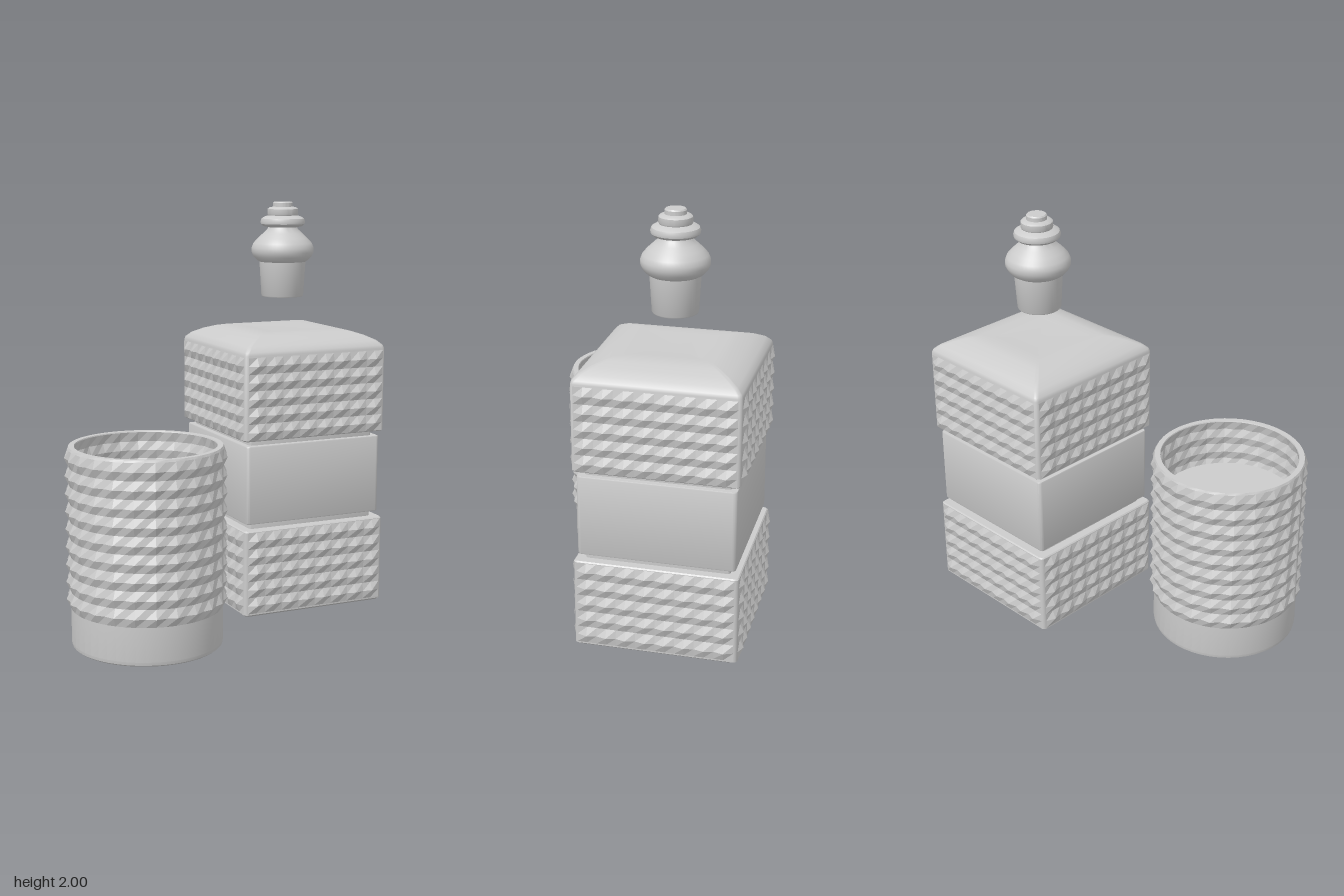
import * as THREE from 'three';
import { toCreasedNormals } from 'three/addons/utils/BufferGeometryUtils.js';

const material = new THREE.MeshStandardMaterial({ color: 0xcccccc });

function mesh(name, geometry, crease) {
  const m = new THREE.Mesh(toCreasedNormals(geometry, crease), material);
  m.name = name;
  return m;
}

// Surface of nu x nv quads; point(i, j) gives [x, y, z]
function grid(nu, nv, point) {
  const pos = [], index = [];
  for (let j = 0; j <= nv; j++) for (let i = 0; i <= nu; i++) pos.push(...point(i, j));
  for (let j = 0; j < nv; j++) {
    for (let i = 0; i < nu; i++) {
      const a = j * (nu + 1) + i, d = a + nu + 1;
      index.push(a, a + 1, d + 1, a, d + 1, d);
    }
  }
  const g = new THREE.BufferGeometry();
  g.setAttribute('position', new THREE.Float32BufferAttribute(pos, 3));
  g.setIndex(index);
  return g;
}

// Unit square outline with rounded corners, counterclockwise
function roundedSquare(radius, steps) {
  const pts = [];
  for (let q = 0; q < 4; q++) {
    const mid = Math.PI / 4 + q * Math.PI / 2;
    const cx = Math.sign(Math.cos(mid)) * (1 - radius), cz = Math.sign(Math.sin(mid)) * (1 - radius);
    for (let k = 0; k <= steps; k++) {
      const a = (q + k / steps) * Math.PI / 2;
      pts.push([cx + radius * Math.cos(a), cz + radius * Math.sin(a)]);
    }
  }
  pts.push(pts[0]);
  return pts;
}

function squareLoft(rows) {
  const o = roundedSquare(0.05, 4);
  return grid(o.length - 1, rows.length - 1, (i, j) => [o[i][0] * rows[j][0], rows[j][1], -o[i][1] * rows[j][0]]);
}

// Panel of wavy horizontal ridges facing +z
function ridgePanel(y0, y1) {
  const nu = 16, nv = 10, half = 0.358;
  return grid(nu, nv, (i, j) => {
    const out = j % 2 === 0 ? 0.001 : i % 2 ? 0.019 : 0.008;
    const edge = i === 0 || i === nu ? 0.001 : out;
    return [half * (2 * i / nu - 1), y0 + (y1 - y0) * j / nv, 0.373 + edge];
  });
}

function createDecanter() {
  const g = new THREE.Group();
  g.name = 'decanter';
  // Recessed base, two wide bands, waist with grooves, low domed shoulder
  g.add(mesh('decanterBody', squareLoft([
    [0, 0.06], [0.24, 0.06], [0.27, 0.052], [0.295, 0.037], [0.315, 0.035], [0.36, 0.045], [0.373, 0.055],
    [0.373, 0.462], [0.368, 0.468], [0.328, 0.468], [0.328, 0.497], [0.355, 0.497],
    [0.357, 0.502], [0.357, 0.868], [0.355, 0.873], [0.328, 0.873], [0.328, 0.9], [0.368, 0.9], [0.373, 0.906],
    [0.373, 1.305], [0.368, 1.32], [0.345, 1.342], [0.30, 1.365], [0.25, 1.382], [0.21, 1.39], [0.15, 1.386], [0, 1.385],
  ]), 0.6));
  for (const [band, y0, y1] of [['lower', 0.062, 0.46], ['upper', 0.905, 1.297]]) {
    for (let s = 0; s < 4; s++) {
      const panel = mesh(band + 'RidgePanel', ridgePanel(y0, y1), 0.1);
      panel.rotation.y = s * Math.PI / 2;
      g.add(panel);
    }
  }
  return g;
}

function createStopper() {
  const profile = [
    [0, 1.54], [0.1, 1.54], [0.103, 1.545], [0.113, 1.71], [0.125, 1.717], [0.142, 1.735], [0.152, 1.757],
    [0.152, 1.778], [0.143, 1.8], [0.12, 1.825], [0.095, 1.848], [0.075, 1.867], [0.07, 1.877],
    [0.095, 1.882], [0.107, 1.893], [0.109, 1.905], [0.104, 1.919], [0.09, 1.928], [0.072, 1.934],
    [0.075, 1.94], [0.074, 1.965], [0.066, 1.972], [0.048, 1.976], [0.048, 1.994], [0.043, 2], [0, 2],
  ].map(([r, y]) => new THREE.Vector2(r, y));
  return mesh('stopper', new THREE.LatheGeometry(profile, 48), 0.6);
}

function createTumbler() {
  const g = new THREE.Group();
  g.name = 'tumbler';
  const nu = 48, ridges = 9, y0 = 0.185, y1 = 0.925;
  // Row: radius, height, ridge depth
  const rows = [[0, 0.004, 0], [0.31, 0, 0], [0.338, 0.003, 0], [0.347, 0.01, 0], [0.35, 0.025, 0], [0.35, y0, 0]];
  for (let k = 1; k < ridges * 2; k++) {
    rows.push([0.352, y0 + (y1 - y0) * k / (ridges * 2), k % 2 ? 0.019 : 0]);
  }
  rows.push([0.353, y1, 0.004], [0.351, 0.935, 0], [0.326, 0.935, 0], [0.324, 0.93, 0]);
  // Ridged inner wall, pressed outward
  for (let k = ridges * 2 - 1; k > 0; k--) {
    rows.push([0.326, y0 + (y1 - y0) * k / (ridges * 2), k % 2 ? 0.015 : 0]);
  }
  rows.push([0.324, y0, 0], [0.31, 0.09, 0], [0, 0.08, 0]);
  g.add(mesh('tumblerGlass', grid(nu, rows.length - 1, (i, j) => {
    const [r, y, depth] = rows[j], a = (i % nu) / nu * Math.PI * 2;
    const radius = r + depth * (i % 2 ? 0.4 : 1);
    return [radius * Math.cos(a), y, -radius * Math.sin(a)];
  }), 0.2));
  // Level surface of the drink
  const drink = mesh('drink', new THREE.CylinderGeometry(0.321, 0.305, 0.6, 48), 0.6);
  drink.position.y = 0.4;
  g.add(drink);
  return g;
}

export function createModel() {
  const model = new THREE.Group();
  model.name = 'decanterSet';
  const decanter = createDecanter(), stopper = createStopper(), tumbler = createTumbler();
  decanter.position.set(0.425, 0, -0.18);
  stopper.position.set(0.425, 0, -0.18);
  tumbler.position.set(-0.45, 0, 0.2);
  model.add(decanter, stopper, tumbler);
  return model;
}
